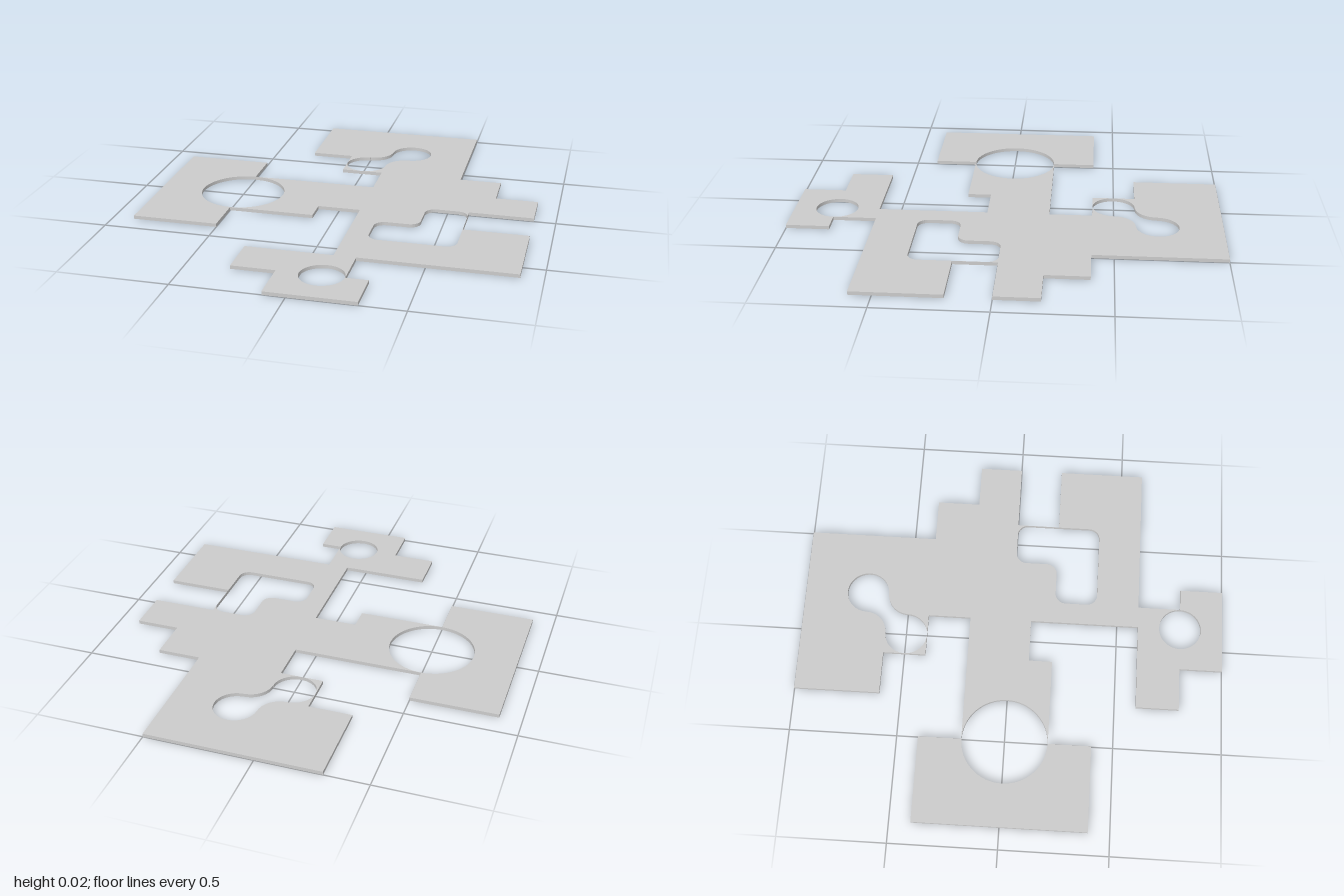
import * as THREE from 'three';
import { toCreasedNormals } from 'three/addons/utils/BufferGeometryUtils.js';

const THICKNESS = 0.016;
const GAP = 0.001; // keeps tangent cut-outs just inside the plate edge

// Plate outline as [x, z] corners, counter-clockwise in plan, starting at the back.
const OUTLINE = [
  [-0.3, -1], [-0.3, -0.6], [-0.1, -0.6], [-0.1, -0.4], [0.1, -0.4], [0.1, -0.2],
  [-0.5, -0.2], [-0.5, -0.4], [-0.9, -0.4], [-0.9, 0.4], [-0.5, 0.4], [-0.5, 0.2],
  [-0.1, 0.2], [-0.1, 0.09], [0.1, 0.09], [0.1, 0.6], [-0.3, 0.6], [-0.3, 0.8],
  [-0.1, 0.8], [-0.1, 1], [0.3, 1], [0.3, 0.8], [0.2, 0.8], [0.2, 0.6], [0.9, 0.6],
  [0.9, 0.2], [0.6, 0.2], [0.6, 0], [0.9, 0], [0.9, -0.2], [0.7, -0.2], [0.7, -0.4],
  [0.5, -0.4], [0.5, -1],
];

// Shapes are drawn with y = -z, then laid flat.
const toPlan = ([x, z]) => new THREE.Vector2(x, -z);

function circleHole(x, z, r) {
  return new THREE.Path().absarc(x, -z, r - GAP, 0, Math.PI * 2, true);
}

// Closed path whose right-angled corners are all rounded by arcs.
function roundedHole(corners, radius) {
  const pts = corners.map(toPlan);
  const path = new THREE.Path();
  pts.forEach((p, i) => {
    const toPrev = pts.at(i - 1).clone().sub(p).setLength(radius);
    const toNext = pts[(i + 1) % pts.length].clone().sub(p).setLength(radius);
    const centre = p.clone().add(toPrev).add(toNext);
    const start = Math.atan2(-toNext.y, -toNext.x);
    const end = Math.atan2(-toPrev.y, -toPrev.x);
    path.absarc(centre.x, centre.y, radius, start, end, toPrev.cross(toNext) > 0);
  });
  path.closePath();
  return path;
}

// Two round ends joined by a curved neck.
function dumbbellHole() {
  const { PI } = Math;
  const r = 0.1 - GAP;
  const path = new THREE.Path();
  path.absarc(0.2, 0.7, r, PI, -PI / 2, true);
  path.absarc(0.2, 0.5, 0.1, PI / 2, PI, false);
  path.absarc(0, 0.5, r, 0, PI / 2, true);
  path.absarc(0, 0.7, 0.1, -PI / 2, 0, false);
  path.closePath();
  return path;
}

export function createModel() {
  const group = new THREE.Group();
  group.name = 'cutOutPlate';

  const shape = new THREE.Shape(OUTLINE.map(toPlan));
  const edge = 0.6 - GAP;
  shape.holes.push(
    circleHole(-0.5, 0, 0.2),
    circleHole(0.1, 0.8, 0.1),
    dumbbellHole(),
    // L-shaped opening
    roundedHole([
      [0.4, GAP], [edge, GAP], [edge, 0.4], [0.2, 0.4], [0.2, 0.2], [0.4, 0.2],
    ], 0.05),
  );

  const geometry = new THREE.ExtrudeGeometry(shape, {
    depth: THICKNESS, bevelEnabled: false, curveSegments: 32,
  });
  geometry.rotateX(-Math.PI / 2);

  const plate = new THREE.Mesh(
    toCreasedNormals(geometry, Math.PI / 6),
    new THREE.MeshStandardMaterial({ color: 0xcccccc }),
  );
  plate.name = 'plate';
  group.add(plate);
  return group;
}
